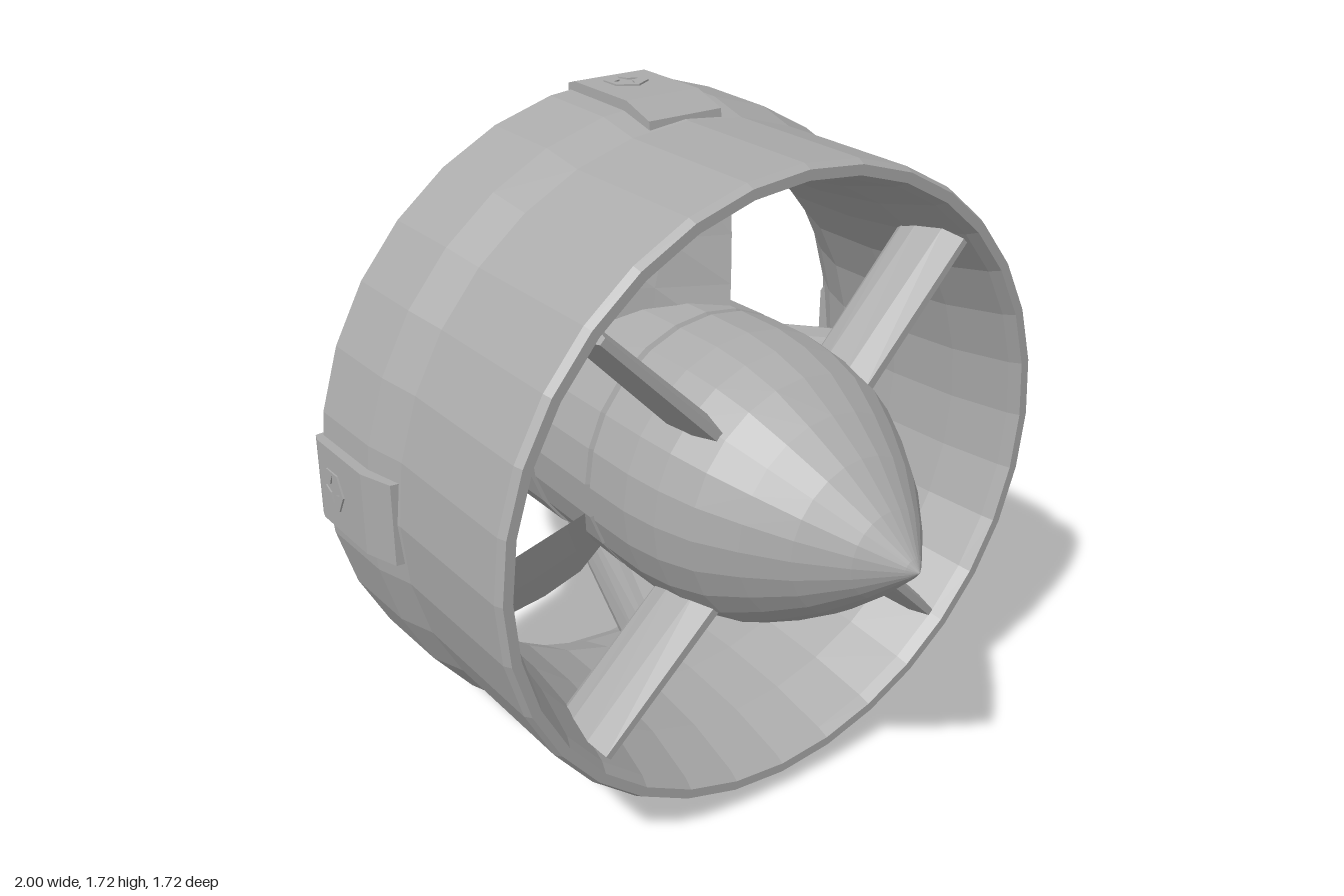
import * as THREE from 'three';

const CY = 0.858; // height of the thruster axis, which runs along x
const metal = new THREE.MeshStandardMaterial({ color: 0xaaaaaa, flatShading: true, side: THREE.DoubleSide });
metal.name = 'grey metal';

function add(parent, geometry, name) {
  const mesh = new THREE.Mesh(geometry, metal);
  mesh.name = name;
  parent.add(mesh);
  return mesh;
}

// Revolve [x, radius] points around the x axis
function turned(points, sides) {
  const g = new THREE.LatheGeometry(points.map(([x, r]) => new THREE.Vector2(r, x)), sides);
  return g.rotateZ(-Math.PI / 2);
}

// Skin a list of closed cross-sections, with end caps
function loft(sections) {
  const n = sections[0].length, pos = sections.flat(2), idx = [];
  for (let s = 0; s < sections.length - 1; s++) {
    for (let i = 0; i < n; i++) {
      const a = s * n + i, b = s * n + (i + 1) % n;
      idx.push(a, a + n, b, b, a + n, b + n);
    }
  }
  const last = (sections.length - 1) * n;
  for (let i = 1; i < n - 1; i++) idx.push(0, i, i + 1, last, last + i + 1, last + i);
  const g = new THREE.BufferGeometry();
  g.setAttribute('position', new THREE.Float32BufferAttribute(pos, 3));
  g.setIndex(idx);
  g.computeVertexNormals();
  return g;
}

// Streamlined section at radius r, from x0 to x1, half thickness t
function foil(r, x0, x1, t) {
  const c = x1 - x0;
  return [[0, 0], [0.12, 0.65], [0.35, 1], [0.7, 0.8], [1, 0.3], [1, -0.3], [0.7, -0.8], [0.35, -1], [0.12, -0.65]]
    .map(([u, v]) => [x0 + u * c, r, v * t]);
}

// Hollow nose shell with intake slots and side vents left open
function noseGeometry() {
  const prof = [[-1, 0], [-0.985, 0.05], [-0.94, 0.125], [-0.88, 0.2], [-0.8, 0.265], [-0.7, 0.318], [-0.6, 0.347], [-0.55, 0.355]];
  const radius = x => {
    const k = Math.max(1, prof.findIndex(p => p[0] >= x - 1e-6));
    const [a, b] = [prof[k - 1], prof[k]];
    return a[1] + (b[1] - a[1]) * (x - a[0]) / (b[0] - a[0]);
  };
  const rows = 45, cols = 144, facet = Math.PI / 12, pos = [], idx = [];
  const isOpen = (x, th) => {
    const r = radius(x), y = r * Math.cos(th), z = r * Math.sin(th);
    if (((x + 0.74) / 0.125) ** 2 + (z / 0.058) ** 2 < 1) return true;
    if (x < -0.605 || x > -0.555) return false;
    if (z < 0) return Math.abs(y) < 0.035;
    return [-0.18, -0.11, 0, 0.11, 0.18].some(v => Math.abs(y - v) < 0.016);
  };
  for (let i = 0; i <= rows; i++) {
    const x = -1 + 0.45 * i / rows;
    for (let j = 0; j <= cols; j++) {
      const th = j / cols * Math.PI * 2;
      const r = radius(x) * Math.cos(facet / 2) / Math.cos(th % facet - facet / 2);
      pos.push(x, r * Math.cos(th), r * Math.sin(th));
      if (i === rows || j === cols) continue;
      if (isOpen(x + 0.225 / rows, (j + 0.5) / cols * Math.PI * 2)) continue;
      const a = i * (cols + 1) + j, b = a + cols + 1;
      idx.push(a, a + 1, b, a + 1, b + 1, b);
    }
  }
  const g = new THREE.BufferGeometry();
  g.setAttribute('position', new THREE.Float32BufferAttribute(pos, 3));
  g.setIndex(idx);
  g.computeVertexNormals();
  return g;
}

const polygon = (pts) => new THREE.Shape(pts.map(p => new THREE.Vector2(p[0], p[1])));
const circlePts = (cx, cy, r, n, r2 = r) => Array.from({ length: n }, (_, i) => {
  const a = i / n * Math.PI * 2, q = i % 2 ? r2 : r;
  return [cx + q * Math.cos(a), cy + q * Math.sin(a)];
});

// Flat plate lying across the local y axis, from height y0 to y1
function plate(shape, y0, y1) {
  const g = new THREE.ExtrudeGeometry(shape, { depth: y1 - y0, bevelEnabled: false });
  return g.rotateX(-Math.PI / 2).translate(0, y0, 0);
}

// Hexagonal screw head with a star socket
function screw(parent, x, y) {
  const hex = polygon(circlePts(0, 0, 0.055, 6));
  hex.holes.push(polygon(circlePts(0, 0, 0.038, 8, 0.016)));
  add(parent, plate(hex, y - 0.004, y + 0.004), 'screw').position.x = x;
}

// Octagonal outline for the mounting plate
function plateOutline(x0, x1, h) {
  const c = 0.15, d = 0.05;
  return polygon([[x0 + c, -h], [x1 - c, -h], [x1 - d, -h + 0.08], [x1, -h + c], [x1, h - c], [x1 - d, h - 0.08],
    [x1 - c, h], [x0 + c, h], [x0 + d, h - 0.08], [x0, h - c], [x0, -h + c], [x0 + d, -h + 0.08]]);
}

export function createModel() {
  const model = new THREE.Group();
  model.name = 'thruster';
  const body = new THREE.Group();
  body.name = 'thrusterBody';
  body.position.y = CY;
  model.add(body);

  // A group turned around the axis; its local y points outward
  const spoke = (angle, name) => {
    const g = new THREE.Group();
    g.name = name;
    g.rotation.x = angle;
    body.add(g);
    return g;
  };

  // Duct ring: outer wall, then the narrowing inner wall
  add(body, turned([[-0.19, 0.79], [-0.19, 0.835], [-0.175, 0.845], [0.05, 0.84], [0.16, 0.813], [0.57, 0.81],
    [0.59, 0.8], [0.59, 0.775], [0.56, 0.76], [0.4, 0.72], [0.2, 0.7], [0, 0.7], [-0.1, 0.735], [-0.19, 0.79]], 32), 'ductRing');

  // Centre body: nose shell, motor housing, propeller hub and tail cone
  add(body, noseGeometry(), 'nose');
  add(body, turned([[-0.55, 0.355], [-0.55, 0.36], [-0.28, 0.36], [-0.28, 0.342], [-0.25, 0.342],
    [-0.25, 0.36], [-0.03, 0.36], [-0.03, 0.342]], 24), 'motorHousing');
  add(body, turned([[-0.03, 0.34], [-0.015, 0.355], [0.24, 0.36], [0.25, 0.342]], 24), 'propellerHub');
  add(body, turned([[0.25, 0.342], [0.26, 0.36], [0.4, 0.36], [0.5, 0.347], [0.6, 0.318], [0.7, 0.262],
    [0.8, 0.195], [0.9, 0.108], [0.98, 0.025], [1, 0]], 24), 'tailCone');

  // Four swept struts and four straight guide vanes
  for (let i = 0; i < 4; i++) {
    const a = i * Math.PI / 2;
    add(spoke(a, 'strutMount'), loft([foil(0.34, -0.54, -0.29, 0.052), foil(0.76, -0.11, 0.11, 0.034)]), 'strut');
    add(spoke(a + Math.PI / 4, 'vaneMount'), loft([foil(0.3, 0.38, 0.585, 0.038), foil(0.745, 0.36, 0.57, 0.03)]), 'guideVane');
  }

  // Three pitched propeller blades: [radius, trailing z, leading z, pitch]
  const bladeRows = [[0.26, 0.23, -0.08, 0.12], [0.4, 0.235, -0.1, 0.1], [0.52, 0.19, -0.115, 0.08], [0.675, 0.1, -0.13, 0.05]];
  const blade = loft(bladeRows.map(([r, z0, z1, p]) => {
    const m = (z0 + z1) / 2;
    return [[0.11 - p, r, z0], [0.122, r, m], [0.11 + p, r, z1], [0.098, r, m]];
  }));
  for (let i = 0; i < 3; i++) add(spoke(i * Math.PI * 2 / 3, 'bladeMount'), blade, 'propellerBlade');

  // Screw pads on the top, front and bottom of the ring
  const padShape = polygon([[-0.19, 0.81], [-0.185, 0.85], [-0.16, 0.858], [0.06, 0.855], [0.15, 0.825], [0.155, 0.79], [-0.17, 0.79]]);
  const padGeo = new THREE.ExtrudeGeometry(padShape, { depth: 0.21, bevelEnabled: false }).translate(0, 0, -0.105);
  for (let i = 0; i < 3; i++) {
    const g = spoke(i * Math.PI / 2, 'padMount');
    add(g, padGeo, 'screwPad');
    screw(g, -0.09, 0.857);
  }

  // Mounting plate on the back, with slots and screw holes
  const mount = spoke(-Math.PI / 2, 'mountingPlate');
  add(mount, plate(plateOutline(-0.185, 0.55, 0.26), 0.765, 0.832), 'plateBase');
  const face = plateOutline(-0.17, 0.53, 0.24);
  for (const s of [1, -1]) {
    const arc = [];
    for (let k = 0; k <= 8; k++) arc.push([0.14, k]);
    for (let k = 8; k >= 0; k--) arc.push([0.09, k]);
    face.holes.push(polygon(arc.map(([r, k]) => {
      const a = s * (0.5 + k * 0.24);
      return [0.15 + r * Math.cos(a), r * Math.sin(a)];
    })));
    face.holes.push(polygon([[0.32, s * 0.03], [0.41, s * 0.07], [0.43, s * 0.11], [0.39, s * 0.12], [0.31, s * 0.075]]));
    face.holes.push(polygon(circlePts(0.31, s * 0.17, 0.022, 8)));
  }
  face.holes.push(polygon(circlePts(0.47, 0, 0.022, 8)), polygon(circlePts(0.15, 0, 0.02, 8)));
  add(mount, plate(face, 0.832, 0.858), 'plateFace');
  screw(mount, -0.08, 0.858);

  return model;
}
